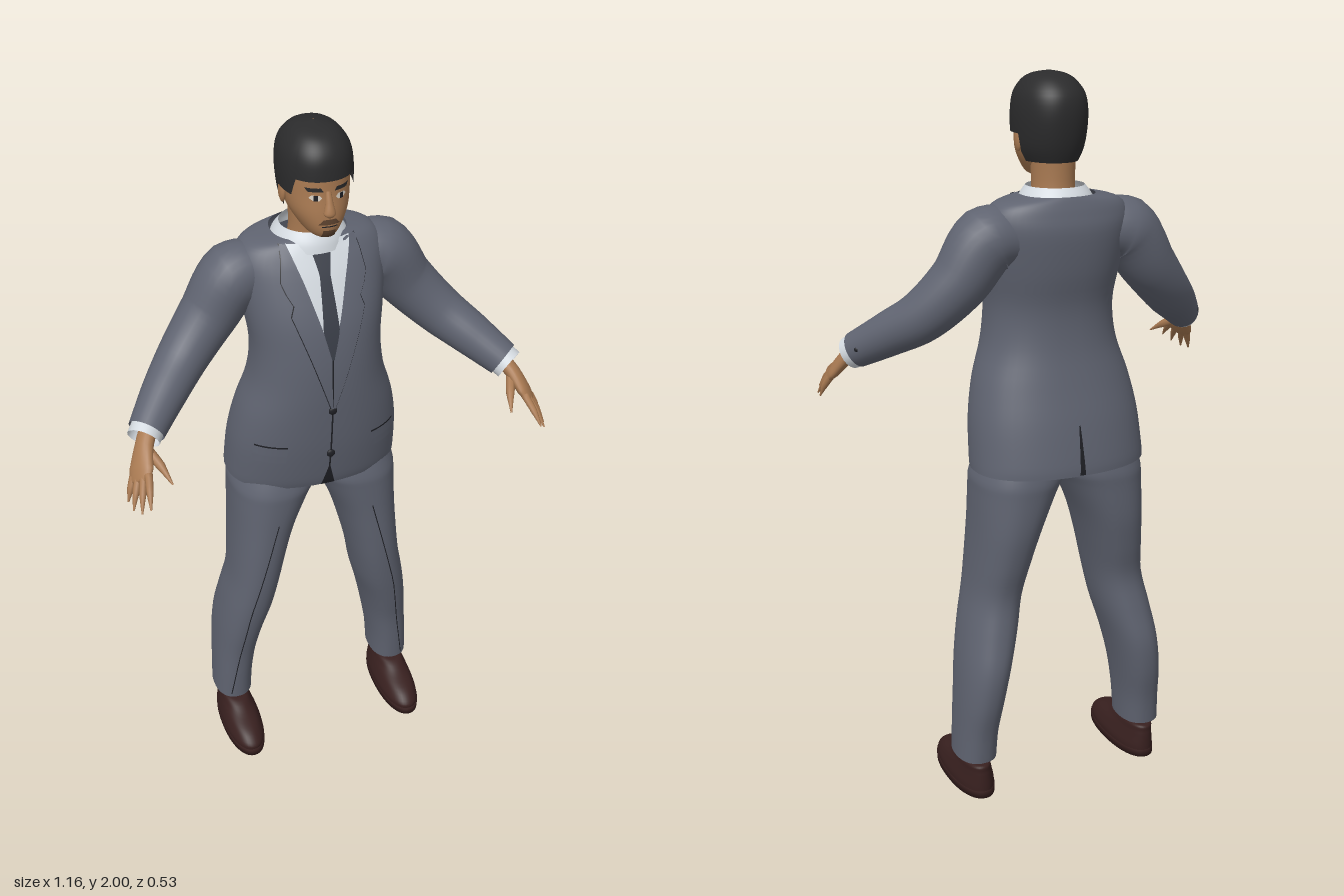
import * as THREE from 'three';

const mat = (name, color, side = THREE.FrontSide) =>
  Object.assign(new THREE.MeshStandardMaterial({ color, side }), { name });
const V = (a) => new THREE.Vector3(...a);
const lerp = THREE.MathUtils.lerp;

export function createModel() {
  const model = new THREE.Group();
  model.name = 'manInSuit';
  const suit = mat('suit grey', 0x5f6370, THREE.DoubleSide);
  const skin = mat('skin', 0xa97a52);
  const hair = mat('hair', 0x2b2b2c, THREE.DoubleSide);
  const shirt = mat('shirt white', 0xd3d9df, THREE.DoubleSide);
  const tieMat = mat('tie', 0x3a3e48);
  const leather = mat('shoe leather', 0x38201f);
  const dark = mat('dark trim', 0x1e1f24);
  const stubble = mat('stubble', 0x5f4430);
  const white = mat('eye white', 0xd8d0c4);

  // Grid surface from a rule fn(u, v); s = -1 mirrors it across x
  function surface(name, material, nu, nv, closed, fn, s = 1) {
    const pos = [], idx = [], w = closed ? nu : nu + 1;
    for (let j = 0; j <= nv; j++)
      for (let i = 0; i < w; i++) {
        const [x, y, z] = fn(i / nu, j / nv);
        pos.push(x * s, y, z);
      }
    for (let j = 0; j < nv; j++)
      for (let i = 0; i < nu; i++) {
        const a = j * w + i, b = j * w + (i + 1) % w, c = a + w, d = b + w;
        if (s > 0) idx.push(a, c, b, b, c, d);
        else idx.push(a, b, c, b, d, c);
      }
    const g = new THREE.BufferGeometry();
    g.setAttribute('position', new THREE.Float32BufferAttribute(pos, 3));
    g.setIndex(idx);
    g.computeVertexNormals();
    const m = new THREE.Mesh(g, material);
    m.name = name;
    model.add(m);
    return m;
  }

  // Smoothly resample rings [y, xMin, xMax, zMin, zMax]
  function dense(rings, n = 4) {
    const out = [], at = (i) => rings[Math.max(0, Math.min(rings.length - 1, i))];
    for (let i = 0; i < rings.length - 1; i++)
      for (let k = 0; k < n; k++) {
        const t = k / n;
        out.push(at(i).map((p1, c) => {
          const p0 = at(i - 1)[c], p2 = at(i + 1)[c], p3 = at(i + 2)[c];
          return p1 + 0.5 * t * (p2 - p0 + t * (2 * p0 - 5 * p1 + 4 * p2 - p3 + t * (3 * (p1 - p2) + p3 - p0)));
        }));
      }
    out.push(at(rings.length - 1));
    return out;
  }
  function ringPoint([y, x0, x1, z0, z1], th, p, grow = 0) {
    const f = (c) => Math.sign(c) * Math.abs(c) ** (2 / p);
    return [(x0 + x1) / 2 + ((x1 - x0) / 2 + grow) * f(Math.cos(th)), y,
      (z0 + z1) / 2 + ((z1 - z0) / 2 + grow) * f(Math.sin(th))];
  }
  const loft = (name, material, rings, p, s = 1) =>
    surface(name, material, 48, rings.length - 1, true,
      (u, v) => ringPoint(rings[Math.round(v * (rings.length - 1))], u * Math.PI * 2, p), s);
  function sample(rows, y) {
    let i = 0;
    while (i < rows.length - 2 && rows[i + 1][0] < y) i++;
    const a = rows[i], b = rows[i + 1];
    const t = THREE.MathUtils.clamp((y - a[0]) / (b[0] - a[0]), 0, 1);
    return a.map((q, k) => lerp(q, b[k], t));
  }
  // Thin plate lying on a loft; rows are [y, x0, x1]; face 1 = front, -1 = back
  function plate(name, material, rings, p, rows, lift = 0.004, s = 1, face = 1) {
    const lo = rows[0][0], hi = rows[rows.length - 1][0];
    surface(name, material, 6, 16, false, (u, v) => {
      const y = lerp(lo, hi, v), [, x0, x1] = sample(rows, y);
      const x = face > 0 ? lerp(x1, x0, u) : lerp(x0, x1, u);
      const [, a, b, c, d] = sample(rings, y);
      const t = Math.min(1, Math.abs(x - (a + b) / 2) / ((b - a) / 2));
      return [x, y, (c + d) / 2 + face * ((d - c) / 2 * (1 - t ** p) ** (1 / p) + lift)];
    }, s);
  }
  // Tapered limb along points [x, y, z, wide, thin]; ref is the wide direction
  function limb(name, material, pts, s, ref = [0, 0, 1], nu = 20, nv = 20) {
    const curve = new THREE.CatmullRomCurve3(pts.map((q) => V(q.slice(0, 3))));
    const n = pts.length - 1;
    return surface(name, material, nu, nv, true, (u, v) => {
      const t = curve.getTangent(v), n2 = V(ref).cross(t).normalize(), n1 = t.clone().cross(n2);
      const k = Math.min(n - 1, Math.floor(v * n)), f = v * n - k;
      const r = [3, 4].map((c) => lerp(pts[k][c], pts[k + 1][c], f));
      return curve.getPoint(v).addScaledVector(n1, r[0] * Math.cos(u * Math.PI * 2))
        .addScaledVector(n2, r[1] * Math.sin(u * Math.PI * 2)).toArray();
    }, s);
  }
  function ball(name, material, at, size) {
    const m = new THREE.Mesh(new THREE.SphereGeometry(1, 14, 10), material);
    m.name = name;
    m.position.set(...at);
    m.scale.set(...size);
    model.add(m);
    return m;
  }
  const even = (rows) => dense(rows.map(([y, a, z0, z1]) => [y, -a, a, z0, z1]));

  // Jacket body
  const torso = even([[0.965, 0.246, -0.265, 0.058], [1.0, 0.245, -0.262, 0.068], [1.1, 0.238, -0.242, 0.085],
    [1.2, 0.218, -0.215, 0.095], [1.3, 0.186, -0.192, 0.1], [1.4, 0.176, -0.187, 0.096], [1.5, 0.188, -0.205, 0.078],
    [1.6, 0.2, -0.214, 0.038], [1.65, 0.195, -0.205, 0.012], [1.68, 0.165, -0.195, -0.005], [1.695, 0.1, -0.188, -0.012]]);
  const P = 2.3;
  loft('jacket', suit, torso, P);
  plate('shirtFront', shirt, torso, P, [[1.42, -0.004, 0.004], [1.6, -0.055, 0.055], [1.69, -0.085, 0.085]], 0.003);
  plate('tie', tieMat, torso, P, [[1.4, -0.003, 0.003], [1.48, -0.022, 0.022], [1.62, -0.014, 0.014], [1.665, -0.024, 0.024]], 0.007);
  plate('jacketFrontSeam', dark, torso, P, [[0.97, -0.003, 0.002], [1.4, -0.002, 0.002]], 0.004);
  plate('jacketFrontOpening', dark, torso, P, [[0.968, -0.02, 0.02], [1.04, -0.002, 0.002]], 0.003);
  plate('backVent', dark, torso, P, [[0.968, -0.008, 0.008], [1.1, -0.002, 0.002]], 0.003, 1, -1);
  for (const y of [1.24, 1.09]) ball('jacketButton', dark, [0, y, sample(torso, y)[4] + 0.004], [0.012, 0.012, 0.006]);
  loft('shirtCollar', shirt, even([[1.665, 0.105, -0.192, 0.012], [1.69, 0.096, -0.185, 0.004], [1.715, 0.078, -0.165, -0.012]]), 2);

  // Head and neck
  loft('neck', skin, even([[1.65, 0.066, -0.15, -0.02], [1.71, 0.056, -0.138, -0.016], [1.8, 0.06, -0.14, -0.01]]), 2);
  const head = even([[1.728, 0.008, -0.03, 0.035], [1.735, 0.036, -0.09, 0.055], [1.76, 0.056, -0.125, 0.068],
    [1.8, 0.076, -0.145, 0.068], [1.85, 0.083, -0.157, 0.062], [1.9, 0.084, -0.161, 0.06], [1.94, 0.077, -0.153, 0.052],
    [1.97, 0.057, -0.126, 0.028], [1.985, 0.034, -0.095, -0.005], [1.991, 0.002, -0.052, -0.048]]);
  loft('head', skin, head, 2.2);
  const step = THREE.MathUtils.smoothstep;
  surface('hair', hair, 72, 20, true, (u, v) => {
    const th = u * Math.PI * 2, s = Math.sin(th);
    const hem = 1.775 + 0.07 * step(s, -0.22, -0.1) + 0.045 * step(s, 0.5, 0.65);
    const y = lerp(hem, 1.991, Math.sin(v * Math.PI / 2));
    const q = ringPoint(sample(head, y), th, 2.2, 0.009 * (1 - v ** 6));
    return [q[0], y + 0.009 * v, q[2]];
  });
  limb('nose', skin, [[0, 1.86, 0.058, 0.006, 0.007], [0, 1.83, 0.066, 0.01, 0.01],
    [0, 1.805, 0.07, 0.014, 0.016], [0, 1.793, 0.066, 0.002, 0.002]], 1);
  plate('moustache', stubble, head, 2.2, [[1.776, -0.028, 0.028], [1.79, -0.016, 0.016]], 0.003);
  plate('mouth', dark, head, 2.2, [[1.77, -0.02, 0.02], [1.773, -0.02, 0.02]], 0.004);
  plate('goatee', stubble, head, 2.2, [[1.737, -0.018, 0.018], [1.76, -0.016, 0.016]], 0.003);

  // Parts on both sides
  for (const s of [1, -1]) {
    plate('eye', white, head, 2.2, [[1.839, 0.024, 0.038], [1.846, 0.018, 0.048], [1.853, 0.024, 0.042]], 0.003, s);
    plate('pupil', dark, head, 2.2, [[1.839, 0.028, 0.038], [1.853, 0.028, 0.038]], 0.005, s);
    plate('eyebrow', hair, head, 2.2, [[1.862, 0.014, 0.05], [1.872, 0.02, 0.056]], 0.004, s);
    ball('ear', skin, [0.084 * s, 1.828, -0.045], [0.009, 0.03, 0.018]);

    // Lapel, its dark edges, and pocket flap
    const lapel = [[1.25, 0, 0.006], [1.4, 0.008, 0.055], [1.53, 0.036, 0.1], [1.545, 0.04, 0.085], [1.6, 0.058, 0.115], [1.69, 0.085, 0.1]];
    plate('lapel', suit, torso, P, lapel, 0.008, s);
    plate('lapelEdge', dark, torso, P, lapel.map(([y, a, b]) => [y, b - 0.002, b + 0.002]), 0.006, s);
    plate('pocketFlap', suit, torso, P, [[1.075, 0.125, 0.21], [1.125, 0.12, 0.2]], 0.009, s);
    plate('pocketEdge', dark, torso, P, [[1.125, 0.12, 0.2], [1.13, 0.12, 0.2]], 0.006, s);

    // Sleeve, cuff and sleeve buttons
    limb('sleeve', suit, [[0.12, 1.595, -0.1, 0.08, 0.07], [0.2, 1.583, -0.1, 0.092, 0.09], [0.275, 1.485, -0.095, 0.08, 0.078],
      [0.36, 1.395, -0.055, 0.07, 0.068], [0.43, 1.34, 0.01, 0.06, 0.06], [0.5, 1.285, 0.085, 0.049, 0.049]], s, [0, 0.5, 1], 28, 30);
    limb('shirtCuff', shirt, [[0.49, 1.293, 0.073, 0.044, 0.044], [0.512, 1.274, 0.1, 0.044, 0.044]], s, [0, 0.5, 1], 20, 2);
    for (let i = 0; i < 3; i++)
      ball('sleeveButton', dark, [(0.515 - 0.016 * i) * s, 1.3 + 0.012 * i, 0.033 - 0.017 * i], [0.008, 0.008, 0.008]);

    // Hand with four fingers and a thumb
    const wide = [-0.6, 0.45, 0.66];
    limb('palm', skin, [[0.49, 1.293, 0.075, 0.026, 0.022], [0.515, 1.262, 0.115, 0.028, 0.02],
      [0.535, 1.222, 0.155, 0.04, 0.017], [0.545, 1.2, 0.178, 0.034, 0.01], [0.547, 1.197, 0.182, 0.002, 0.002]], s, wide);
    [[0.54, 1.168, 0.262], [0.56, 1.15, 0.245], [0.575, 1.14, 0.212], [0.58, 1.142, 0.175]].forEach((tip, i) => {
      const k = 0.027 - 0.018 * i, a = [0.54, 1.212, 0.168].map((q, c) => q + wide[c] * k);
      const mid = a.map((q, c) => lerp(q, tip[c], 0.55) + (c === 1 ? 0.005 : 0));
      limb('finger', skin, [[...a, 0.011, 0.011], [...mid, 0.009, 0.009], [...tip, 0.002, 0.002]], s, wide, 8, 8);
    });
    limb('thumb', skin, [[0.51, 1.255, 0.12, 0.014, 0.014], [0.488, 1.23, 0.168, 0.012, 0.012],
      [0.47, 1.2, 0.218, 0.002, 0.002]], s, wide, 8, 8);

    // Trouser leg with front crease
    const leg = dense([[0.115, 0.205, 0.32, -0.19, -0.025], [0.2, 0.2, 0.316, -0.2, -0.018], [0.3, 0.185, 0.31, -0.22, -0.008],
      [0.4, 0.163, 0.3, -0.225, 0.012], [0.5, 0.135, 0.283, -0.207, 0.03], [0.6, 0.115, 0.262, -0.192, 0.042],
      [0.7, 0.092, 0.252, -0.212, 0.048], [0.8, 0.062, 0.246, -0.23, 0.05], [0.9, 0.018, 0.243, -0.235, 0.052],
      [0.945, -0.004, 0.24, -0.235, 0.05], [1.01, -0.004, 0.215, -0.22, 0.03]]);
    loft('trouserLeg', suit, leg, P, s);
    plate('trouserCrease', dark, leg, P, [[0.13, 0.284, 0.287], [0.5, 0.225, 0.228], [0.84, 0.14, 0.143]], 0.003, s);

    // Ankle and shoe
    loft('ankle', skin, [[0.07, 0.225, 0.3, -0.16, -0.04], [0.14, 0.225, 0.3, -0.16, -0.04]], 2, s);
    loft('shoe', leather, dense([[0.018, 0.202, 0.318, -0.187, 0.12], [0.035, 0.202, 0.318, -0.187, 0.118], [0.06, 0.21, 0.312, -0.186, 0.085],
      [0.08, 0.218, 0.306, -0.184, 0.025], [0.1, 0.226, 0.3, -0.178, -0.025], [0.098, 0.25, 0.275, -0.12, -0.08]]), 2.2, s);
    loft('shoeSole', leather, [[0, 0.258, 0.262, -0.04, -0.03], [0, 0.2, 0.32, -0.19, 0.126],
      [0.02, 0.2, 0.32, -0.19, 0.126], [0.021, 0.204, 0.316, -0.186, 0.118]], 2.2, s);
  }

  // Worn spot on the right forearm
  const patch = ball('sleevePatch', skin, [-0.405, 1.362, 0.037], [0.034, 0.013, 0.02]);
  patch.rotation.set(0, 0.75, 0.6);
  return model;
}
